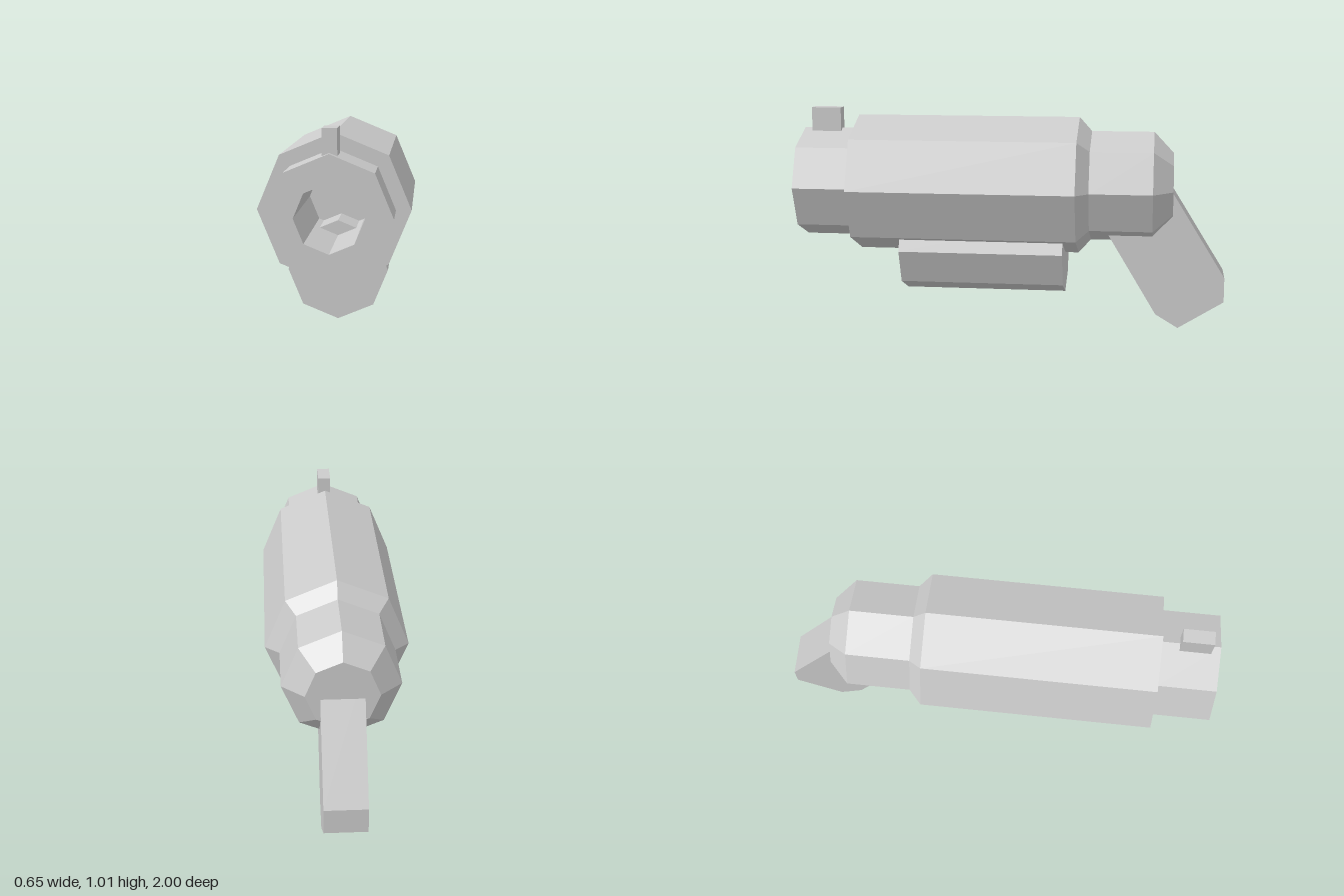
import * as THREE from 'three';

const AXIS_Y = 0.653;

export function createModel() {
  const group = new THREE.Group();
  const material = new THREE.MeshStandardMaterial({ color: 0xcccccc, flatShading: true });

  const add = (name, geometry, x, y, z) => {
    const mesh = new THREE.Mesh(geometry, material);
    mesh.name = name;
    mesh.position.set(x, y, z);
    group.add(mesh);
  };

  // Eight-sided body turned around the z axis; profile is [radius, z], rear to front
  const turned = (profile) =>
    new THREE.LatheGeometry(profile.map(([r, z]) => new THREE.Vector2(r, z)), 8).rotateX(Math.PI / 2);

  // Barrel: rounded rear cap, thick sleeve, muzzle and deep bore
  add('barrel', turned([
    [0, -0.757], [0.16, -0.757], [0.258, -0.665], [0.258, -0.375],
    [0.323, -0.317], [0.323, 0.735], [0.258, 0.735], [0.258, 1],
    [0.143, 1], [0.143, 0.3], [0, 0.3],
  ]), 0, AXIS_Y, 0);

  // Tube slung under the barrel
  add('underTube', turned([[0, -0.255], [0.218, -0.255], [0.218, 0.51], [0, 0.51]]), 0, 0.358, 0);

  // Front sight
  add('frontSight', new THREE.BoxGeometry(0.062, 0.13, 0.14), 0, 0.945, 0.888);

  // Slanted grip with a chamfered butt; outline is [-z, y], its top sits inside the barrel
  const outline = [[0.35, 0.62], [0.685, 0.063], [0.79, 0], [1, 0.13], [1, 0.245], [0.69, 0.745]];
  const grip = new THREE.ExtrudeGeometry(
    new THREE.Shape(outline.map(([u, v]) => new THREE.Vector2(u, v))),
    { depth: 0.19, bevelEnabled: false },
  );
  grip.translate(0, 0, -0.095).rotateY(Math.PI / 2);
  add('grip', grip, 0, 0, 0);

  return group;
}
